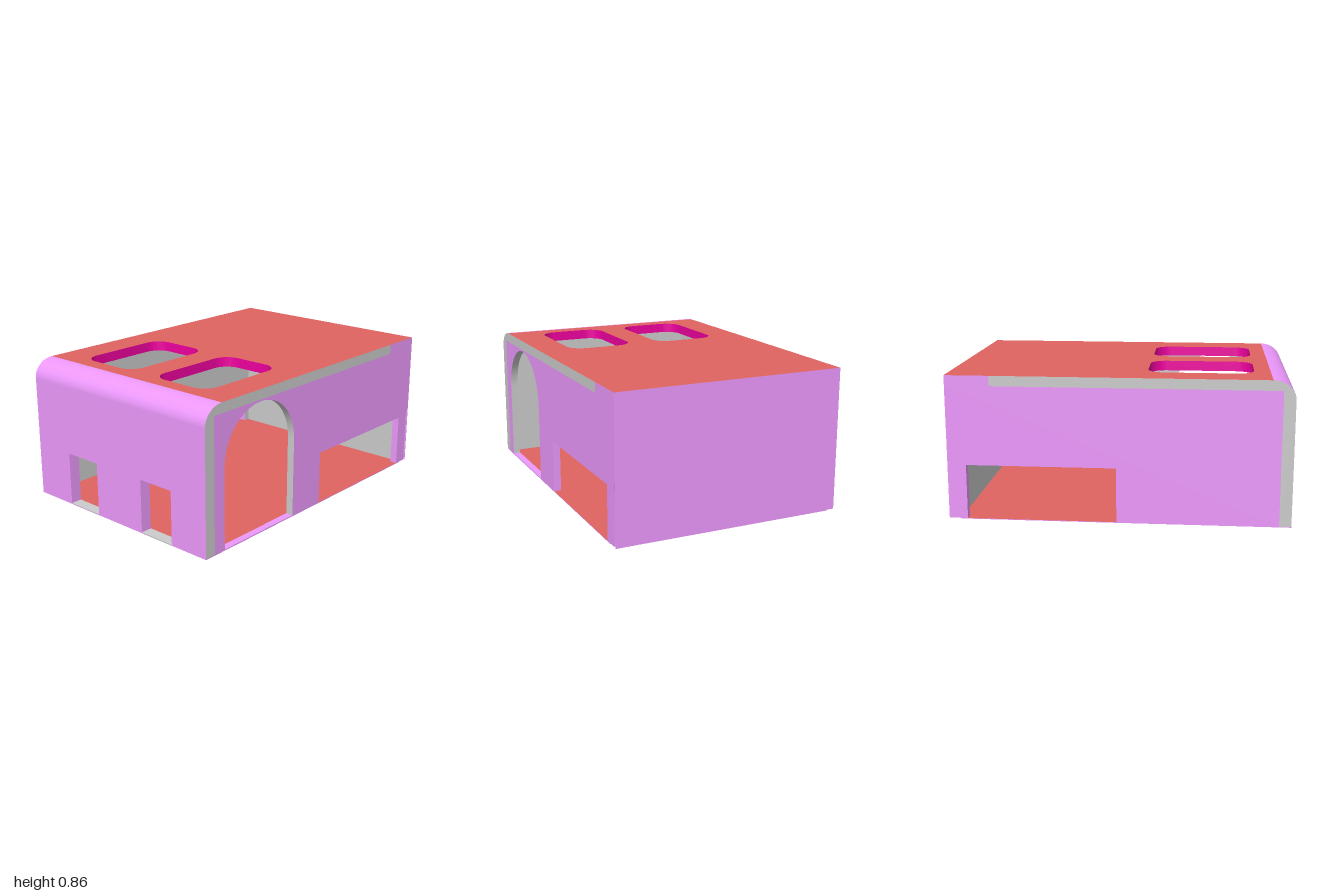
import * as THREE from 'three';
import { toCreasedNormals } from 'three/addons/utils/BufferGeometryUtils.js';

const mat = (color) => new THREE.MeshStandardMaterial({ color });
const GREY = mat(0xcccccc);
const VIOLET = mat(0xec98fc);
const RED = mat(0xe06462);
const MAGENTA = mat(0xf000a0);

const H = 0.86, CEIL = 0.8, Z = 0.7, FLOOR = 0.005;
const TX = 0.07, TZ = 0.045; // wall thickness along x and z

// Splits a geometry into one mesh per colour, chosen by face normal and centre.
function painted(name, geometry, pick) {
  const geo = toCreasedNormals(geometry, 0.6);
  const pos = geo.attributes.position, nor = geo.attributes.normal;
  const buckets = new Map();
  const tri = new THREE.Triangle(), n = new THREE.Vector3(), c = new THREE.Vector3();
  for (let i = 0; i < pos.count; i += 3) {
    tri.setFromAttributeAndIndices(pos, i, i + 1, i + 2);
    tri.getNormal(n);
    tri.getMidpoint(c);
    const m = pick(n, c);
    if (!buckets.has(m)) buckets.set(m, { p: [], n: [] });
    const b = buckets.get(m);
    for (let k = i; k < i + 3; k++) {
      b.p.push(pos.getX(k), pos.getY(k), pos.getZ(k));
      b.n.push(nor.getX(k), nor.getY(k), nor.getZ(k));
    }
  }
  const group = new THREE.Group();
  group.name = name;
  for (const [m, b] of buckets) {
    const g = new THREE.BufferGeometry();
    g.setAttribute('position', new THREE.Float32BufferAttribute(b.p, 3));
    g.setAttribute('normal', new THREE.Float32BufferAttribute(b.n, 3));
    const mesh = new THREE.Mesh(g, m);
    mesh.name = name + 'Surface';
    group.add(mesh);
  }
  return group;
}

const extrude = (shape, depth) =>
  new THREE.ExtrudeGeometry(shape, { depth, bevelEnabled: false, curveSegments: 16 });

function box(x0, x1, y0, y1, z0, z1) {
  return new THREE.BoxGeometry(x1 - x0, y1 - y0, z1 - z0)
    .translate((x0 + x1) / 2, (y0 + y1) / 2, (z0 + z1) / 2);
}

function roundedHole(x0, x1, z0, z1, r) {
  const p = new THREE.Path();
  p.moveTo(x0 + r, z0);
  p.lineTo(x1 - r, z0);
  p.absarc(x1 - r, z0 + r, r, -Math.PI / 2, 0);
  p.absarc(x1 - r, z1 - r, r, 0, Math.PI / 2);
  p.absarc(x0 + r, z1 - r, r, Math.PI / 2, Math.PI);
  p.absarc(x0 + r, z0 + r, r, Math.PI, Math.PI * 1.5);
  return p;
}

// Long wall with a low wide opening; the front one also has an arch and a corner notch.
function longWall(isFront) {
  const s = new THREE.Shape();
  s.moveTo(-1 + TX, FLOOR);
  if (isFront) {
    s.lineTo(-0.85, FLOOR);
    s.lineTo(-0.85, 0.49);
    s.absarc(-0.55, 0.49, 0.3, Math.PI, 0, true);
    s.lineTo(-0.25, FLOOR);
  }
  s.lineTo(0.01, FLOOR);
  s.lineTo(0.01, 0.33);
  s.lineTo(0.89, 0.33);
  s.lineTo(0.89, FLOOR);
  if (isFront) {
    s.lineTo(0.98, FLOOR);
    s.lineTo(0.98, 0.31);
    s.quadraticCurveTo(0.982, 0.35, 1, 0.37);
  } else {
    s.lineTo(1, FLOOR);
  }
  s.lineTo(1, CEIL);
  s.lineTo(-1 + TX, CEIL);
  s.closePath();
  const side = isFront ? 1 : -1;
  const geo = extrude(s, TZ).translate(0, 0, isFront ? Z - TZ : -Z);
  return painted(isFront ? 'frontWall' : 'backWall', geo, (n, c) => {
    if (Math.abs(n.z) > 0.9) return n.z * side > 0 ? VIOLET : GREY;
    return c.x < -0.2 && c.x > -0.9 ? GREY : VIOLET;
  });
}

export function createModel() {
  const model = new THREE.Group();
  model.name = 'building';
  const doors = [[-0.42, -0.17], [0.2, 0.44]];

  // floor, with thresholds under the openings
  model.add(painted('floor', box(-1, 1 - TX, 0.001, FLOOR, -Z, Z),
    (n) => (n.y > 0.9 ? RED : VIOLET)));
  model.add(painted('archThreshold', box(-0.85, -0.25, FLOOR, 0.008, Z - TZ, Z), () => VIOLET));
  for (const [a, b] of doors) {
    model.add(painted('doorThreshold', box(-1, -1 + TX, 0, 0.007, a, b), () => GREY));
  }

  model.add(longWall(true), longWall(false));

  // plain end wall and the thin skin closing the corner beside the notch
  model.add(painted('plainEndWall', box(1 - TX, 1, 0, CEIL, -Z + TZ, Z - TZ),
    (n) => (n.x < -0.9 || n.y < -0.9 ? GREY : VIOLET)));
  model.add(painted('cornerSkin', box(0.997, 1, 0, 0.38, Z - TZ, Z), () => VIOLET));

  // end wall with two doorways
  const SPLIT = 0.7;
  const wall = new THREE.Shape();
  wall.moveTo(-Z, FLOOR);
  for (const [a, b] of doors) {
    wall.lineTo(a, FLOOR);
    wall.lineTo(a, 0.33);
    wall.lineTo(b, 0.33);
    wall.lineTo(b, FLOOR);
  }
  wall.lineTo(Z, FLOOR);
  wall.lineTo(Z, SPLIT);
  wall.lineTo(-Z, SPLIT);
  wall.closePath();
  model.add(painted('doorEndWall',
    extrude(wall, TX).rotateY(-Math.PI / 2).translate(-1 + TX, 0, 0),
    (n, c) => (n.x < -0.9 || (n.z > 0.9 && c.z < 0.6) ? VIOLET : GREY)));

  // rounded eave joining the door end wall to the roof
  const RX = 0.13, RY = 0.11;
  const eave = new THREE.Shape();
  eave.moveTo(-1 + TX, SPLIT);
  eave.lineTo(-1 + TX, CEIL);
  eave.lineTo(-1 + RX, CEIL);
  eave.lineTo(-1 + RX, H);
  eave.absellipse(-1 + RX, H - RY, RX, RY, Math.PI / 2, Math.PI, false, 0);
  eave.lineTo(-1, SPLIT);
  eave.closePath();
  model.add(painted('roundedEave', extrude(eave, 2 * Z).translate(0, 0, -Z),
    (n) => (Math.abs(n.z) < 0.5 && (n.x < -0.01 || n.y > 0.5) ? VIOLET : GREY)));

  // roof slab with two rounded skylights
  const JOINT = 0.74;
  const roof = new THREE.Shape();
  roof.moveTo(-1 + RX, -Z);
  roof.lineTo(JOINT, -Z);
  roof.lineTo(1, -Z);
  roof.lineTo(1, Z);
  roof.lineTo(JOINT, Z);
  roof.lineTo(-1 + RX, Z);
  roof.closePath();
  roof.holes.push(roundedHole(-0.775, -0.155, -0.505, -0.09, 0.1));
  roof.holes.push(roundedHole(-0.775, -0.155, 0.085, 0.5, 0.1));
  model.add(painted('roof',
    extrude(roof, H - CEIL).rotateX(Math.PI / 2).translate(0, H, 0),
    (n, c) => {
      if (n.y > 0.9) return RED;
      if (n.y < -0.9) return GREY;
      if (Math.abs(c.z) < 0.6 && c.x < 0 && c.x > -0.8) return MAGENTA;
      return c.x > JOINT ? VIOLET : GREY;
    }));

  return model;
}
